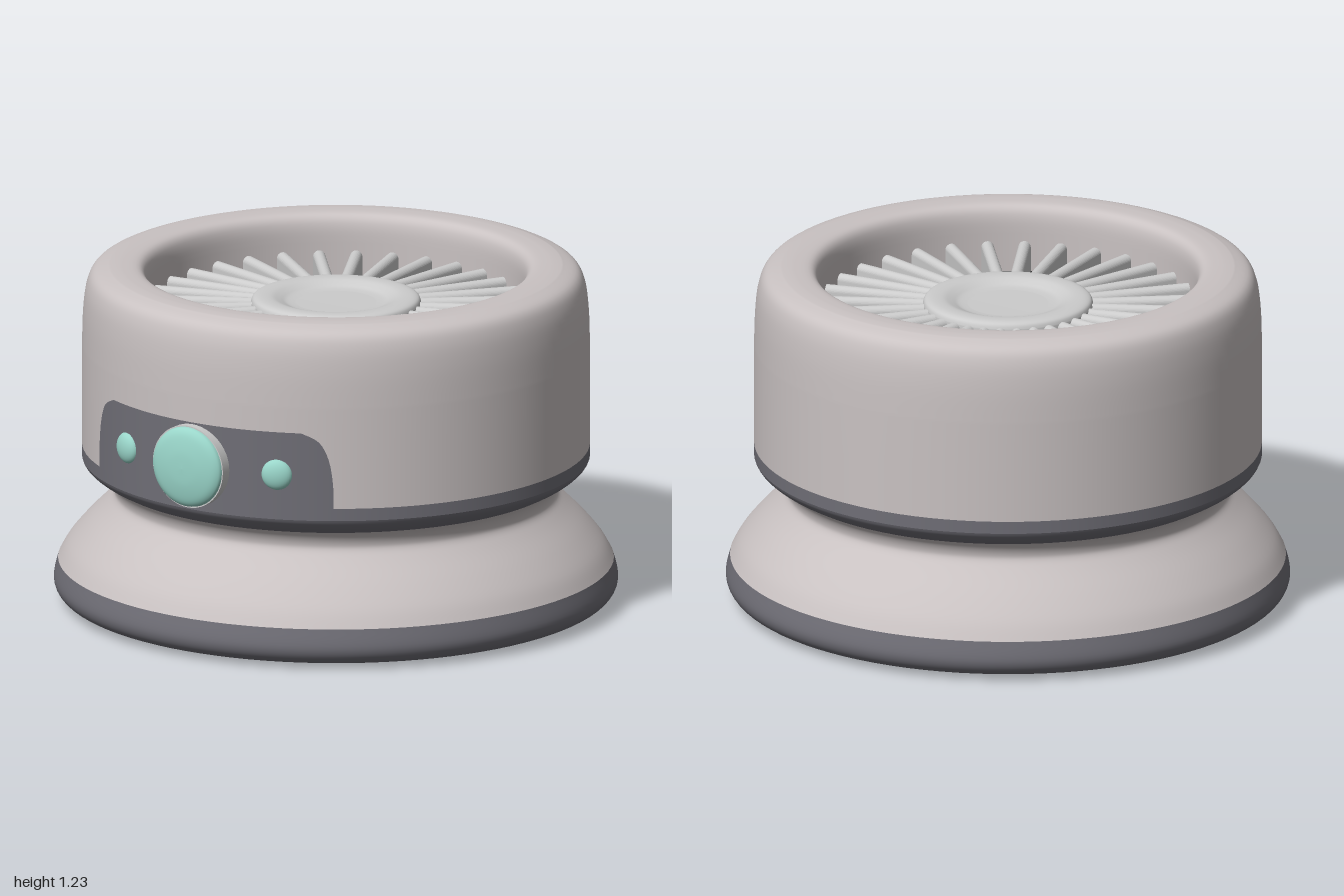
import * as THREE from 'three';

const mat = (color, side = THREE.FrontSide) => new THREE.MeshStandardMaterial({ color, side });
const shell = mat(0xc9c2c2);
const grey = mat(0xcccccc);
const dark = mat(0x6f6e76);
const black = mat(0x333333);
const teal = mat(0x9ad6ca);

const R = 0.9; // body radius
const FLOOR = 0.98; // bottom of the vent well

const vectors = (pts) => pts.map(([x, y]) => new THREE.Vector2(x, y));
const smooth = (pts, n = 24) => new THREE.SplineCurve(vectors(pts)).getPoints(n);

function add(parent, name, geometry, material) {
  const mesh = new THREE.Mesh(geometry, material);
  mesh.name = name;
  parent.add(mesh);
  return mesh;
}

const lathe = (parent, name, points, material) =>
  add(parent, name, new THREE.LatheGeometry(points, 96), material);

// Upright bar with a rounded top, running outwards along +z
function finGeometry() {
  const w = 0.022, top = 1.07;
  const s = new THREE.Shape();
  s.moveTo(-w, FLOOR);
  s.lineTo(w, FLOOR);
  s.lineTo(w, top);
  s.absarc(0, top, w, 0, Math.PI, false);
  s.closePath();
  return new THREE.ExtrudeGeometry(s, { depth: 0.38, bevelEnabled: false, curveSegments: 8 })
    .translate(0, 0, 0.29);
}

// Curved panel wrapped on the body, its half width varying with height
function panelGeometry() {
  const edge = smooth([[0.5, 0.57], [0.498, 0.66], [0.485, 0.75], [0.455, 0.815], [0.4, 0.846]], 16);
  const cols = 32, pos = [], nor = [], idx = [];
  edge.forEach((p, row) => {
    const max = Math.asin(p.x / R);
    for (let c = 0; c <= cols; c++) {
      const a = (c / cols * 2 - 1) * max;
      pos.push(Math.sin(a) * (R + 0.004), p.y, Math.cos(a) * (R + 0.004));
      nor.push(Math.sin(a), 0, Math.cos(a));
      if (row && c) {
        const d = row * (cols + 1) + c, b = d - cols - 1;
        idx.push(b - 1, b, d, b - 1, d, d - 1);
      }
    }
  });
  const g = new THREE.BufferGeometry();
  g.setAttribute('position', new THREE.Float32BufferAttribute(pos, 3));
  g.setAttribute('normal', new THREE.Float32BufferAttribute(nor, 3));
  g.setIndex(idx);
  return g;
}

export function createModel() {
  const model = new THREE.Group();
  model.name = 'ventedDevice';

  // Flared base with a dark foot
  lathe(model, 'baseUnderside', vectors([[0, 0], [0.84, 0.002]]), dark);
  lathe(model, 'baseFoot', smooth([[0.84, 0.002], [0.93, 0.012], [0.98, 0.035], [1, 0.08], [0.985, 0.15]]), dark);
  lathe(model, 'baseFlare', smooth([[0.985, 0.15], [0.95, 0.21], [0.89, 0.28], [0.82, 0.35],
    [0.79, 0.385], [0.787, 0.41], [0.8, 0.44], [0.825, 0.465]], 32), shell);

  // Body with a dark lower band, rolled rim and vent well
  lathe(model, 'bodyUnderside', vectors([[0.78, 0.46], [0.82, 0.46]]), dark);
  lathe(model, 'bodyChamfer', smooth([[0.82, 0.46], [0.86, 0.482], [0.89, 0.507], [R, 0.525]], 10), dark);
  lathe(model, 'bodyBand', vectors([[R, 0.525], [R, 0.57]]), dark);
  lathe(model, 'bodyShell', [
    ...vectors([[R, 0.57], [R, 0.75]]),
    ...smooth([[R, 0.93], [0.896, 1.06], [0.884, 1.15], [0.858, 1.2], [0.8, 1.223]]),
    ...smooth([[0.77, 1.225], [0.71, 1.222], [0.683, 1.205], [0.672, 1.17], [0.67, 1.12]], 16),
    new THREE.Vector2(0.67, FLOOR),
  ], shell);
  lathe(model, 'ventFloor', vectors([[0.67, FLOOR], [0, FLOOR]]), black);

  // Radial fins around a dished hub
  const fins = new THREE.Group();
  fins.name = 'ventFins';
  model.add(fins);
  const fin = finGeometry(), count = 32;
  for (let i = 0; i < count; i++) {
    add(fins, 'fin', fin, grey).rotation.y = (i + 0.5) / count * Math.PI * 2;
  }
  lathe(model, 'hub', [
    ...vectors([[0.302, FLOOR], [0.302, 1.07]]),
    ...smooth([[0.302, 1.085], [0.294, 1.103], [0.27, 1.111], [0.23, 1.11], [0.2, 1.1], [0.175, 1.09], [0.14, 1.086]]),
    new THREE.Vector2(0, 1.086),
  ], grey);

  // Control panel and buttons
  add(model, 'controlPanel', panelGeometry(), dark);
  const main = new THREE.Group();
  main.name = 'mainButton';
  main.position.set(0, 0.69, 0);
  main.rotation.x = Math.PI / 2;
  model.add(main);
  add(main, 'buttonCollar', new THREE.CylinderGeometry(0.15, 0.15, 0.07, 48).translate(0, 0.897, 0), grey);
  lathe(main, 'buttonCap', smooth([[0.146, 0.93], [0.14, 0.945], [0.115, 0.959], [0.06, 0.97], [0, 0.973]]), teal);

  for (const side of [-1, 1]) {
    const a = side * Math.asin(0.32 / R);
    const button = add(model, side > 0 ? 'leftButton' : 'rightButton', new THREE.SphereGeometry(0.056, 32, 20), teal);
    button.scale.z = 0.5;
    button.position.set(Math.sin(a) * R, 0.69, Math.cos(a) * R);
    button.rotation.y = a;
  }
  return model;
}
